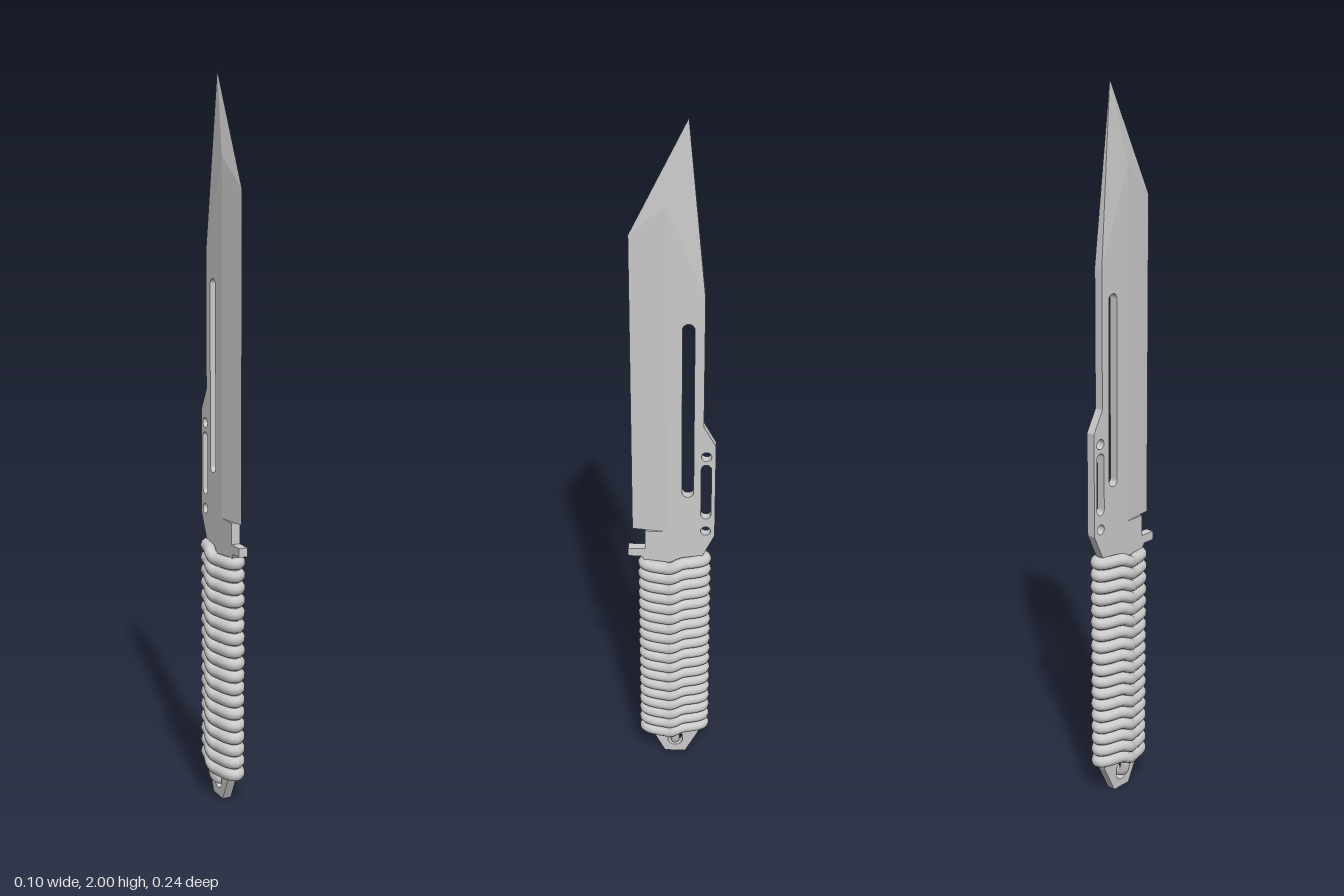
import * as THREE from 'three';

const HALF = 0.0125; // half thickness of the steel

function makeMesh(name, geometry, double = false) {
  const material = new THREE.MeshStandardMaterial({ color: 0xcccccc });
  if (double) material.side = THREE.DoubleSide;
  const m = new THREE.Mesh(geometry, material);
  m.name = name;
  return m;
}

// Rounded slot (or round hole when y0 == y1) as a hole path in (z, y)
function slot(z, y0, y1, r) {
  const p = new THREE.Path();
  p.absarc(z, y1, r, 0, Math.PI, false);
  p.absarc(z, y0, r, Math.PI, Math.PI * 2, false);
  p.closePath();
  return p;
}

// Full tang: pommel, handle core, guard, ricasso and flat of the blade
function tangAndFlat() {
  const outline = [
    [0.02, 0], [0.06, 0.08], [0.065, 0.1], [0.065, 0.69], [0.085, 0.725],
    [0.122, 0.725], [0.122, 0.75], [0.075, 0.75], [0.075, 0.81], [0.015, 0.81],
    [0.015, 1.78], [-0.085, 1.53], [-0.085, 1.15], [-0.118, 1.09],
    [-0.118, 0.8], [-0.085, 0.73], [-0.085, 0.1], [-0.08, 0.08], [-0.04, 0],
  ];
  const shape = new THREE.Shape(outline.map(([z, y]) => new THREE.Vector2(z, y)));
  shape.holes.push(
    slot(-0.043, 0.942, 1.44, 0.016),  // long lightening slot
    slot(-0.093, 0.87, 1.017, 0.014),  // short slot in the spine hump
    slot(-0.093, 1.057, 1.057, 0.014), // round holes above and below it
    slot(-0.093, 0.815, 0.815, 0.014),
    slot(-0.01, 0.045, 0.055, 0.022),  // lanyard hole
  );
  const g = new THREE.ExtrudeGeometry(shape, { depth: 2 * HALF, bevelEnabled: false, curveSegments: 10 });
  g.translate(0, 0, -HALF);
  g.rotateY(-Math.PI / 2);
  return g;
}

// Ground edge, angled tip and tapering spine, as flat facets
function bevels() {
  const side = (s) => ({
    r0: [s * HALF, 0.81, 0.015], r1: [s * HALF, 1.78, 0.015], s: [s * HALF, 1.53, -0.085],
  });
  const e0 = [0, 0.81, 0.11], e1 = [0, 1.695, 0.11], tip = [0, 2, -0.04];
  const tris = [];
  for (const s of [1, -1]) {
    const p = side(s);
    for (const t of [[e0, p.r0, p.r1], [e0, p.r1, e1], [e1, p.r1, tip], [p.r1, p.s, tip]]) {
      tris.push(s > 0 ? t : t.reverse());
    }
  }
  const a = side(1), b = side(-1);
  tris.push([a.s, b.s, tip], [a.r0, e0, b.r0]);
  const g = new THREE.BufferGeometry();
  g.setAttribute('position', new THREE.Float32BufferAttribute(tris.flat(2), 3));
  g.computeVertexNormals();
  return g;
}

// One turn of cord: an oval loop that steps up half a pitch where it crosses the sides
function cordTurn(y, pitch, radius) {
  const pts = [];
  for (let i = 0; i < 40; i++) {
    const t = (i / 40) * Math.PI * 2;
    const dz = 0.086 * Math.cos(t);
    const bulge = 1 + 0.28 * Math.exp(-((dz / 0.022) ** 2));
    const x = 0.027 * Math.sin(t) * bulge;
    const step = -Math.tanh(dz / 0.014) * pitch * 0.25;
    pts.push(new THREE.Vector3(x, y + step, dz - 0.007));
  }
  const path = new THREE.CatmullRomCurve3(pts, true);
  return new THREE.TubeGeometry(path, 72, radius, 10, true);
}

export function createModel() {
  const model = new THREE.Group();

  const blade = new THREE.Group();
  blade.name = 'blade';
  blade.add(makeMesh('tangAndBladeFlat', tangAndFlat()), makeMesh('bladeBevels', bevels()));
  model.add(blade);

  // Cord-wrapped grip
  const grip = new THREE.Group();
  grip.name = 'grip';
  const core = new THREE.CylinderGeometry(1, 1, 0.6, 32);
  core.scale(0.029, 1, 0.088);
  core.translate(0, 0.405, -0.007);
  grip.add(makeMesh('gripCore', core));
  const turns = 18, bottom = 0.1, top = 0.705;
  const pitch = (top - bottom) / (turns - 1);
  for (let i = 0; i < turns; i++) {
    grip.add(makeMesh('cordTurn', cordTurn(bottom + i * pitch, pitch, 0.0175)));
  }
  model.add(grip);

  // Cord end threaded through the lanyard hole
  const tail = new THREE.CatmullRomCurve3([
    [0.027, 0.12], [0.027, 0.075], [0.019, 0.054], [0, 0.046],
    [-0.019, 0.054], [-0.027, 0.075], [-0.027, 0.12],
  ].map(([x, y]) => new THREE.Vector3(x, y, -0.01)));
  model.add(makeMesh('lanyardCord', new THREE.TubeGeometry(tail, 32, 0.014, 10, false), true));

  return model;
}
